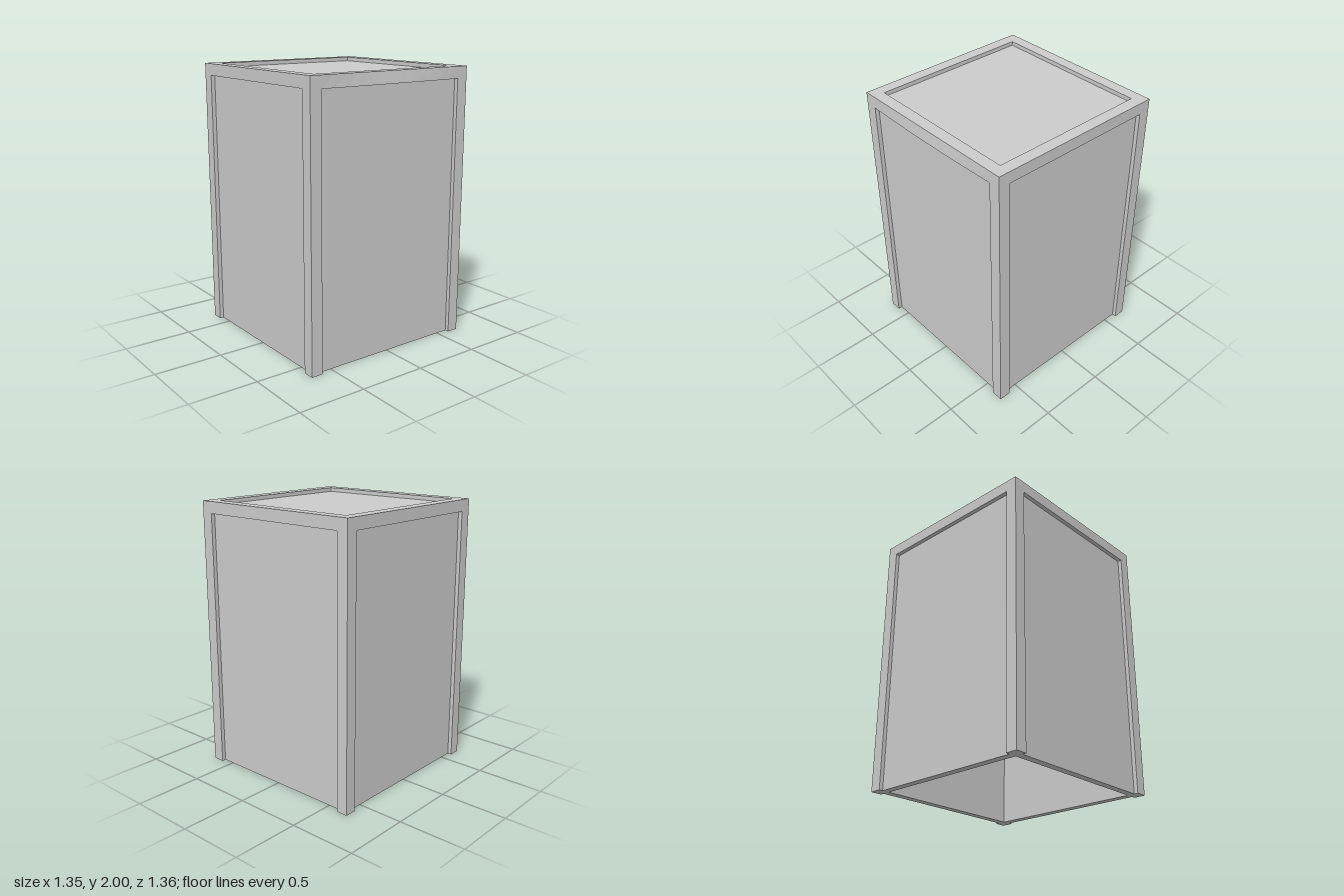
import * as THREE from 'three';

const H = 2;          // overall height
const HALF = 0.677;   // half width of the square plan
const W = 0.086;      // width of posts and beams
const RECESS = 0.03;  // how far the panels sit behind the frame
const SPAN = 2 * (HALF - W);

export function createModel() {
  const group = new THREE.Group();
  const material = new THREE.MeshStandardMaterial({ color: 0xcccccc, flatShading: true });

  const add = (name, geometry, x, y, z, parent = group) => {
    const mesh = new THREE.Mesh(geometry, material);
    mesh.name = name;
    mesh.position.set(x, y, z);
    parent.add(mesh);
    return mesh;
  };

  // Corner posts
  const c = HALF - W / 2;
  for (const sx of [-1, 1]) {
    for (const sz of [-1, 1]) {
      add('cornerPost', new THREE.BoxGeometry(W, H, W), sx * c, H / 2, sz * c);
    }
  }

  // Four sides, each a top beam over a recessed panel; the bottom stays open
  const thick = W - RECESS;
  ['front', 'left', 'back', 'right'].forEach((side, i) => {
    const wall = new THREE.Group();
    wall.name = side + 'Wall';
    wall.rotation.y = i * Math.PI / 2;
    group.add(wall);

    const beam = new THREE.BoxGeometry(SPAN, W, W, 12, 1, 1);
    if (side === 'front') {
      // The lower front edge bows out very slightly
      const p = beam.attributes.position;
      for (let k = 0; k < p.count; k++) {
        if (p.getZ(k) > 0 && p.getY(k) < 0) {
          const t = p.getX(k) / (SPAN / 2);
          p.setZ(k, p.getZ(k) + 0.01 * (1 - t * t));
        }
      }
      beam.computeVertexNormals();
    }
    add(side + 'Beam', beam, 0, H - W / 2, c, wall);
    add(side + 'Panel', new THREE.BoxGeometry(SPAN, H - W, thick),
      0, (H - W) / 2, HALF - RECESS - thick / 2, wall);
  });

  // Recessed roof panel
  add('topPanel', new THREE.BoxGeometry(SPAN, thick, SPAN), 0, H - RECESS - thick / 2, 0);

  group.position.z = -0.005;
  return group;
}
